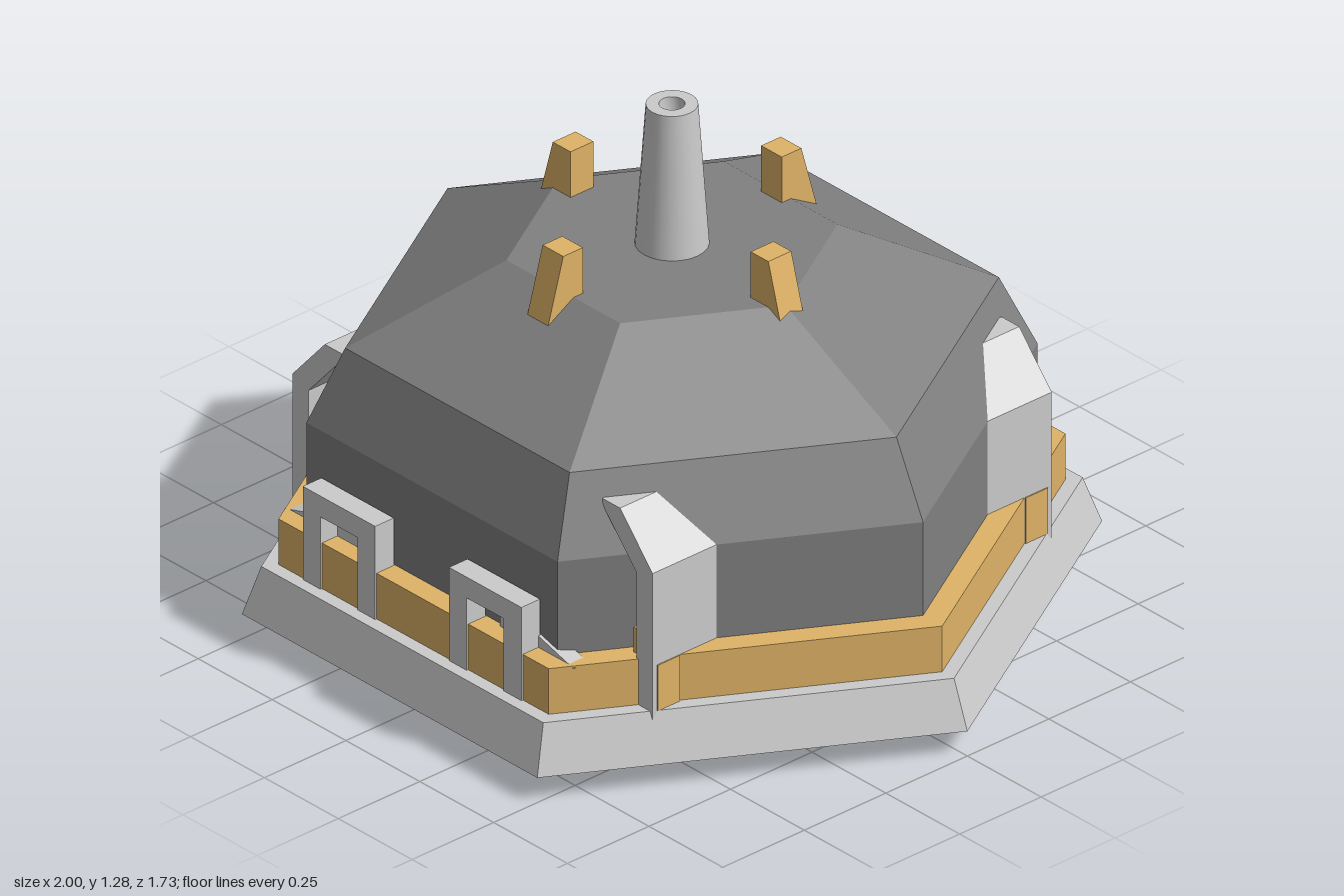
import * as THREE from 'three';

const mat = (color, flat = true) => new THREE.MeshStandardMaterial({ color, flatShading: flat });

export function createModel() {
  const model = new THREE.Group();
  const grey = mat(0xcccccc);
  const dark = mat(0x808080);
  const gold = mat(0xdfb367);

  const add = (name, geometry, material, parent = model) => {
    const mesh = new THREE.Mesh(geometry, material);
    mesh.name = name;
    parent.add(mesh);
    return mesh;
  };

  // Hexagonal frustum with corners on the x axis
  const hex = (rBottom, rTop, y0, y1, open = false) =>
    new THREE.CylinderGeometry(rTop, rBottom, y1 - y0, 6, 1, open, Math.PI / 6)
      .translate(0, (y0 + y1) / 2, 0);

  // Outline in x,y pushed out along z from z0 to z1
  const plate = (points, z0, z1) =>
    new THREE.ExtrudeGeometry(
      new THREE.Shape(points.map(([x, y]) => new THREE.Vector2(x, y))),
      { depth: z1 - z0, bevelEnabled: false }
    ).translate(0, 0, z0);

  const box = (x0, x1, y0, y1, z0, z1) =>
    new THREE.BoxGeometry(x1 - x0, y1 - y0, z1 - z0)
      .translate((x0 + x1) / 2, (y0 + y1) / 2, (z0 + z1) / 2);

  // Base skirt and coloured band
  add('base', hex(1, 0.955, 0.065, 0.185), grey);
  add('band', hex(0.915, 0.915, 0.185, 0.305), gold);

  // Faceted dome, stacked from three tiers
  const dome = new THREE.Group();
  dome.name = 'dome';
  model.add(dome);
  add('domeWall', hex(0.85, 0.85, 0.3, 0.55, true), dark, dome);
  add('domeShoulder', hex(0.85, 0.76, 0.55, 0.735, true), dark, dome);
  add('domeRoof', hex(0.76, 0.385, 0.735, 0.92), dark, dome);

  // Hollow tapered mast
  const mastProfile = [[0.086, 0.91], [0.06, 1.285], [0.06, 1.285], [0.03, 1.285], [0.03, 1.285], [0.03, 1.2], [0, 1.2]];
  add('mast', new THREE.LatheGeometry(
    mastProfile.map(([r, y]) => new THREE.Vector2(r, y)), 24), mat(0xcccccc, false));

  // Four slanted roof posts
  for (let i = 0; i < 4; i++) {
    const post = add('roofPost',
      plate([[0.305, 0.87], [0.413, 0.87], [0.365, 1.04], [0.305, 1.04]], -0.035, 0.035), gold);
    post.rotation.y = i * Math.PI / 2;
  }

  // Keel under the base
  add('keel', plate([[-0.145, 0], [0.145, 0], [0.178, 0.07], [-0.178, 0.07]], -0.06, 0.06), gold);

  // Bent corner fins with small coloured inserts, mirrored to four corners
  const finOutline = [[0.61, 0.165], [0.61, 0.55], [0.5, 0.675], [0.44, 0.675],
    [0.44, 0.66], [0.555, 0.53], [0.555, 0.19]];
  // Mirrors outline points in x, keeping the winding valid
  const mirror = (points, s) => points.map(([x, y]) => [s * x, y]);
  for (const sx of [1, -1]) {
    for (const sz of [1, -1]) {
      const corner = new THREE.Group();
      corner.name = 'cornerFin';
      model.add(corner);
      const [z0, z1] = sz > 0 ? [0.36, 0.612] : [-0.612, -0.36];
      add('fin', plate(mirror(finOutline, sx), z0, z1), grey, corner);
      const insert = [[0.53, 0.185], [0.613, 0.185], [0.613, 0.305], [0.557, 0.305], [0.557, 0.37], [0.53, 0.37]];
      const [i0, i1] = sz > 0 ? [0.53, 0.598] : [-0.598, -0.53];
      add('finInsert', plate(mirror(insert, sx), i0, i1), gold, corner);
    }

    // Front arch bracket and the low wedge running to the corner
    const arch = [[0.125, 0.185], [0.185, 0.185], [0.185, 0.375], [0.31, 0.375],
      [0.31, 0.185], [0.37, 0.185], [0.37, 0.43], [0.125, 0.43]];
    add('frontBracket', plate(mirror(arch, sx), 0.74, 0.797), grey);
    add('bracketWedge', plate(mirror([[0.24, 0.3], [0.49, 0.3], [0.37, 0.335], [0.24, 0.335]], sx), 0.7, 0.745), grey);
  }

  // Thin panel low on the back of the dome
  add('backPanel', box(-0.19, 0.19, 0.3, 0.335, -0.743, -0.72), dark);

  return model;
}
